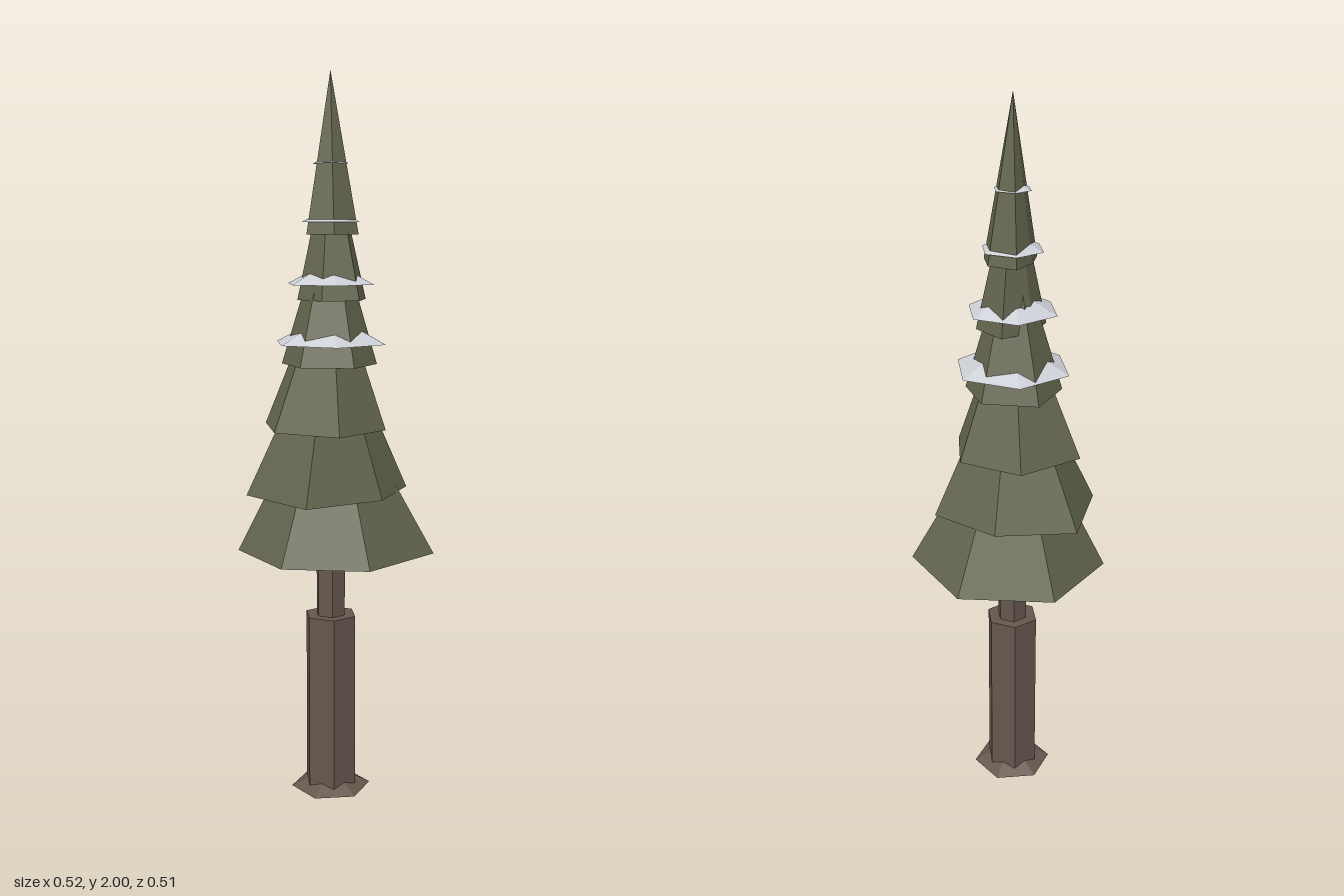
import * as THREE from 'three';

const material = (color, side = THREE.FrontSide) =>
  new THREE.MeshStandardMaterial({ color, side, flatShading: true });

// Open six-sided cone whose corners each have their own radius.
function skirt(radii, height, startDegrees) {
  const n = radii.length;
  const corner = (k) => {
    const a = THREE.MathUtils.degToRad(startDegrees + (k * 360) / n);
    const r = radii[k % n];
    return [r * Math.cos(a), 0, r * Math.sin(a)];
  };
  const points = [];
  for (let k = 0; k < n; k++) points.push(0, height, 0, ...corner(k + 1), ...corner(k));
  const geometry = new THREE.BufferGeometry();
  geometry.setAttribute('position', new THREE.Float32BufferAttribute(points, 3));
  geometry.computeVertexNormals();
  return geometry;
}

export function createModel() {
  const tree = new THREE.Group();
  tree.name = 'snowyPine';

  const bark = material(0x65574d);
  const needles = material(0x64664f, THREE.DoubleSide);
  const snow = material(0xccd0d6, THREE.DoubleSide);

  const add = (name, geometry, mat, y) => {
    const mesh = new THREE.Mesh(geometry, mat);
    mesh.name = name;
    mesh.position.set(-0.018, y, 0.004);
    tree.add(mesh);
    return mesh;
  };

  // Trunk: flared root collar, thick lower part, thin upper part
  add('rootFlare', new THREE.ConeGeometry(0.112, 0.06, 6), bark, 0.03);
  add('lowerTrunk', new THREE.CylinderGeometry(0.075, 0.075, 0.51, 6), bark, 0.255).rotation.y = Math.PI / 6;
  add('upperTrunk', new THREE.CylinderGeometry(0.043, 0.043, 0.5, 6), bark, 0.75).rotation.y = Math.PI / 6;

  // Branch layers: base height, cone height, turn, corner radii
  const layers = [
    [0.69, 0.52, 41, [0.241, 0.234, 0.261, 0.263, 0.264, 0.288]],
    [0.865, 0.5, 21, [0.194, 0.258, 0.239, 0.243, 0.193, 0.222]],
    [1.045, 0.46, 0, [0.163, 0.2, 0.188, 0.199, 0.19, 0.175]],
    [1.22, 0.44, 41, [0.145, 0.143, 0.134, 0.158, 0.145, 0.127]],
    [1.395, 0.43, 21, [0.108, 0.095, 0.093, 0.078, 0.115, 0.1]],
    [1.57, 0.43, 0, [0.082, 0.08, 0.08, 0.056, 0.085, 0.08]],
  ];
  layers.forEach(([y, height, turn, radii], i) =>
    add(`branchLayer${i + 1}`, skirt(radii, height, turn), needles, y));

  // Snow collars, shrinking towards the tip
  [[1.277, 0.162], [1.437, 0.127], [1.602, 0.087], [1.757, 0.052]].forEach(([y, r], i) =>
    add(`snowCollar${i + 1}`, skirt(Array(6).fill(r), r * 0.5, 0), snow, y));

  return tree;
}
